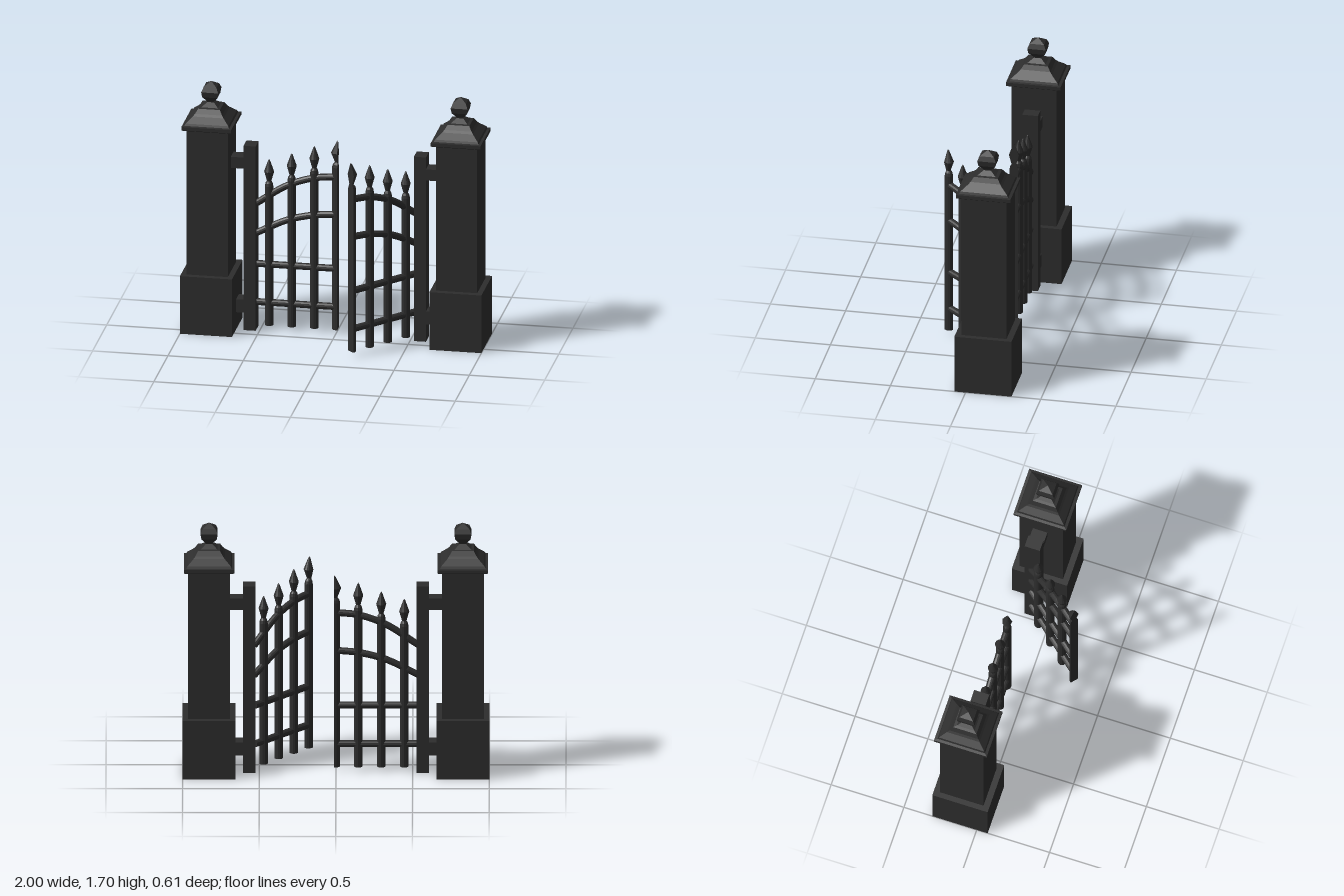
import * as THREE from 'three';

const iron = new THREE.MeshStandardMaterial({ color: 0x2d2d2d, flatShading: true });
iron.name = 'dark iron';

const DEPTH = 1.1;        // pillars are slightly deeper than wide
const GATE_Z = -0.122;
const HINGE_X = 0.525;

const v2 = (list) => list.map(([x, y]) => new THREE.Vector2(x, y));

function add(parent, name, geometry) {
  const mesh = new THREE.Mesh(geometry, iron);
  mesh.name = name;
  parent.add(mesh);
  return mesh;
}

// Box given by its low and high corners
function box(parent, name, [x0, y0, z0], [x1, y1, z1]) {
  add(parent, name, new THREE.BoxGeometry(x1 - x0, y1 - y0, z1 - z0))
    .position.set((x0 + x1) / 2, (y0 + y1) / 2, (z0 + z1) / 2);
}

// Four-sided lathe whose radii are half widths across the flats
function squareLathe(profile) {
  const points = v2(profile.map(([r, y]) => [r * Math.SQRT2, y]));
  return new THREE.LatheGeometry(points, 4, Math.PI / 4).scale(1, 1, DEPTH);
}

function createPillar() {
  const pillar = new THREE.Group();
  box(pillar, 'pillarBase', [-0.1725, 0, -0.19], [0.1725, 0.4, 0.19]);
  box(pillar, 'pillarShaft', [-0.1375, 0.4, -0.15], [0.1375, 1.405, 0.15]);
  // Stepped cap
  add(pillar, 'pillarCap', squareLathe([
    [0, 1.403], [0.155, 1.403], [0.165, 1.41], [0.165, 1.433], [0.148, 1.436],
    [0.142, 1.45], [0.102, 1.486], [0.09, 1.5], [0.072, 1.53],
    [0.055, 1.534], [0.022, 1.56], [0, 1.56],
  ]));
  // Faceted ball on top
  add(pillar, 'pillarFinial', squareLathe([
    [0.02, 1.555], [0.025, 1.57], [0.05, 1.602], [0.056, 1.638], [0.043, 1.67], [0, 1.7],
  ]));
  return pillar;
}

// Outline of an upright bar ending in a spear point
const barProfile = (tip) => [
  [0, 0.03], [0.028, 0.03], [0.028, tip - 0.185], [0.024, tip - 0.165],
  [0.015, tip - 0.15], [0.033, tip - 0.085], [0.006, tip - 0.008], [0, tip],
];

// Gate leaf running along +x from the hinge at x = 0
function createLeaf() {
  const leaf = new THREE.Group();

  // Spear-topped bars
  [[0.08, 1.18], [0.23, 1.23], [0.38, 1.29]].forEach(([x, tip], i) => {
    add(leaf, `spearBar${i + 1}`, new THREE.LatheGeometry(v2(barProfile(tip)), 12)).position.x = x;
  });

  // Half-round closing bar with a flat meeting face
  const profile = barProfile(1.34);
  const half = new THREE.LatheGeometry(v2(profile), 8, Math.PI, Math.PI).scale(1.4, 1, 1);
  add(leaf, 'closingBar', half).position.x = 0.537;
  const outline = [...profile, ...profile.slice(1, -1).reverse().map(([r, y]) => [-r, y])];
  const face = new THREE.ShapeGeometry(new THREE.Shape(v2(outline))).rotateY(Math.PI / 2);
  add(leaf, 'closingBarFace', face).position.x = 0.537;

  // Straight lower rails
  [0.185, 0.45].forEach((y) => {
    const rail = new THREE.CylinderGeometry(0.023, 0.023, 0.53, 12).rotateZ(Math.PI / 2);
    add(leaf, 'straightRail', rail).position.set(0.255, y, 0);
  });

  // Arched upper rails
  [[0.66, 0.765, 0.812, 0.825], [0.865, 1.005, 1.07, 1.085]].forEach((heights) => {
    const xs = [-0.01, 0.2, 0.38, 0.515];
    const curve = new THREE.CatmullRomCurve3(xs.map((x, i) => new THREE.Vector3(x, heights[i], 0)));
    add(leaf, 'archedRail', new THREE.TubeGeometry(curve, 12, 0.023, 12));
    // Closed hinge end of the rail
    const end = add(leaf, 'archedRailEnd', new THREE.CircleGeometry(0.023, 12));
    end.position.copy(curve.getPoint(0));
    end.lookAt(end.position.clone().sub(curve.getTangent(0)));
  });
  return leaf;
}

export function createModel() {
  const model = new THREE.Group();
  model.name = 'gateway';

  for (const side of [-1, 1]) {
    const label = side < 0 ? 'right' : 'left';
    const pillar = createPillar();
    pillar.name = `${label}Pillar`;
    pillar.position.set(side * 0.8275, 0, -0.115);
    model.add(pillar);

    // Hinge post with two brackets to the pillar
    const hinge = new THREE.Group();
    hinge.name = `${label}HingePost`;
    hinge.position.set(side * 0.565, 0, GATE_Z);
    box(hinge, 'hingePost', [-0.04, 0, -0.052], [0.04, 1.28, 0.052]);
    for (const [y0, y1] of [[0.12, 0.21], [1.12, 1.197]]) {
      const xs = [side * 0.03, side * 0.14].sort((a, b) => a - b);
      box(hinge, 'bracket', [xs[0], y0, -0.05], [xs[1], y1, 0.05]);
    }
    model.add(hinge);

    // One leaf closed, the other swung open to the front
    const leaf = createLeaf();
    leaf.name = `${label}GateLeaf`;
    leaf.position.set(side * HINGE_X, 0, GATE_Z);
    leaf.rotation.y = side < 0 ? 0 : THREE.MathUtils.degToRad(-131);
    model.add(leaf);
  }
  return model;
}
